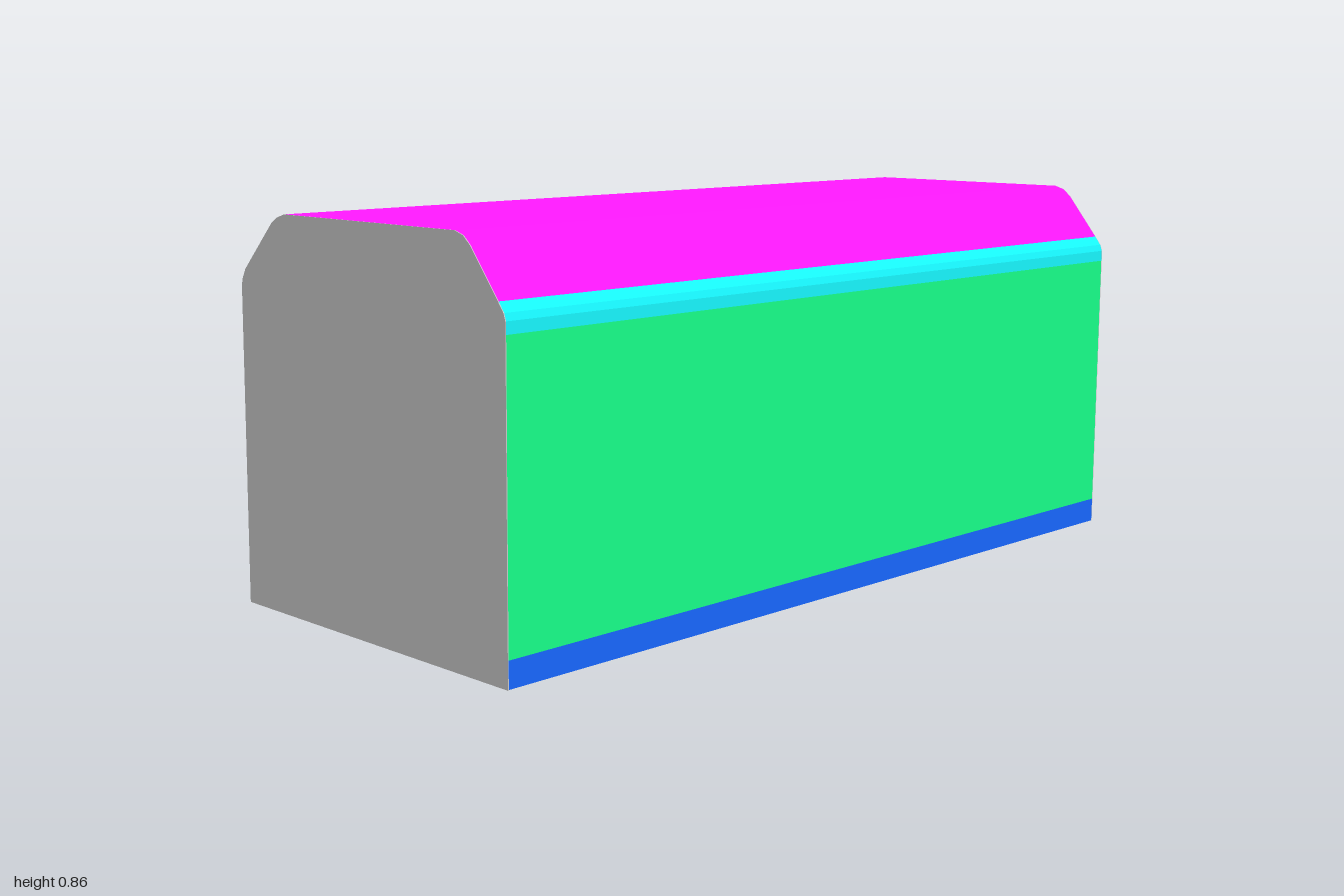
import * as THREE from 'three';

const COLORS = { grey: 0xcccccc, blue: 0x1868ff, green: 0x18ff8a, cyan: 0x18f8ff, magenta: 0xff18ff };

const materials = Object.fromEntries(Object.entries(COLORS).map(([name, color]) =>
  [name, new THREE.MeshStandardMaterial({ color, flatShading: true })]));

// Extrudes a [z, y] outline along x from x0 to x1
function slab(name, color, x0, x1, outline) {
  const shape = new THREE.Shape(outline.map(([z, y]) => new THREE.Vector2(-z, y)));
  const geometry = new THREE.ExtrudeGeometry(shape, { depth: x1 - x0, bevelEnabled: false });
  geometry.rotateY(Math.PI / 2).translate(x0, 0, 0);
  const mesh = new THREE.Mesh(geometry, materials[color]);
  mesh.name = name;
  return mesh;
}

// Thin horizontal sheet facing up (1) or down (-1)
function sheet(name, color, x0, x1, z0, z1, y, facing) {
  const geometry = new THREE.PlaneGeometry(x1 - x0, z1 - z0).rotateX(-facing * Math.PI / 2);
  const mesh = new THREE.Mesh(geometry, materials[color]);
  mesh.position.set((x0 + x1) / 2, y, (z0 + z1) / 2);
  mesh.name = name;
  return mesh;
}

export function createModel() {
  const model = new THREE.Group();
  model.name = 'building';

  // Main hall: stacked colour bands
  const hall = new THREE.Group();
  hall.name = 'mainHall';
  const F = 0.787, B = -0.066, E = 0.998;
  const shoulderFront = [[F, 0.7], [0.782, 0.715], [0.767, 0.735]];
  const shoulderBack = [[-0.051, 0.735], [-0.062, 0.715], [B, 0.7]];
  const roof = [[0.69, 0.832], [0.67, 0.85], [0.645, 0.858], [0.095, 0.858], [0.07, 0.85], [0.05, 0.838]];
  hall.add(
    slab('hallBase', 'blue', -E, E, [[F, 0.003], [F, 0.06], [B, 0.04], [B, 0.003]]),
    slab('hallWalls', 'green', -E, E, [[F, 0.06], [F, 0.675], [B, 0.675], [B, 0.04]]),
    slab('hallEaves', 'cyan', -E, E, [[F, 0.675], ...shoulderFront, ...shoulderBack, [B, 0.675]]),
    slab('hallRoof', 'magenta', -E, E, [shoulderFront[2], ...roof, shoulderBack[0]]),
    sheet('hallFloor', 'grey', -1, 1, B, F, 0.002, -1)
  );

  // Grey end walls
  const endOutline = [[F, 0.002], ...shoulderFront, ...roof, ...shoulderBack, [B, 0.002]];
  hall.add(slab('leftEndWall', 'grey', E, 1, endOutline), slab('rightEndWall', 'grey', -1, -E, endOutline));

  // Rear wing, running a little way into the hall
  const wing = new THREE.Group();
  wing.name = 'rearWing';
  const L = -0.375, R = 0.333, W = -0.787, top = 0.73;
  wing.add(
    slab('wingBase', 'blue', L, R, [[0, 0.003], [0, 0.04], [W, 0.04], [W, 0.003]]),
    slab('wingWalls', 'green', L, R, [[0, 0.04], [0, 0.672], [W, 0.672], [W, 0.04]]),
    slab('wingEaves', 'cyan', L, R,
      [[0, 0.672], [0, top - 0.001], [-0.77, top - 0.001], [-0.781, 0.719], [W, 0.7], [W, 0.672]]),
    sheet('wingRoof', 'magenta', L, R, -0.77, -0.03, top, 1)
  );

  // Underside of the wing, continuing below the hall
  wing.add(
    sheet('wingFloor', 'green', L, R, W, -0.07, 0, -1),
    sheet('floorStrip', 'magenta', L, R, -0.07, 0.07, 0, -1),
    sheet('hallFloorPanel', 'green', L, R, 0.07, 0.68, 0, -1)
  );

  model.add(hall, wing);
  return model;
}
